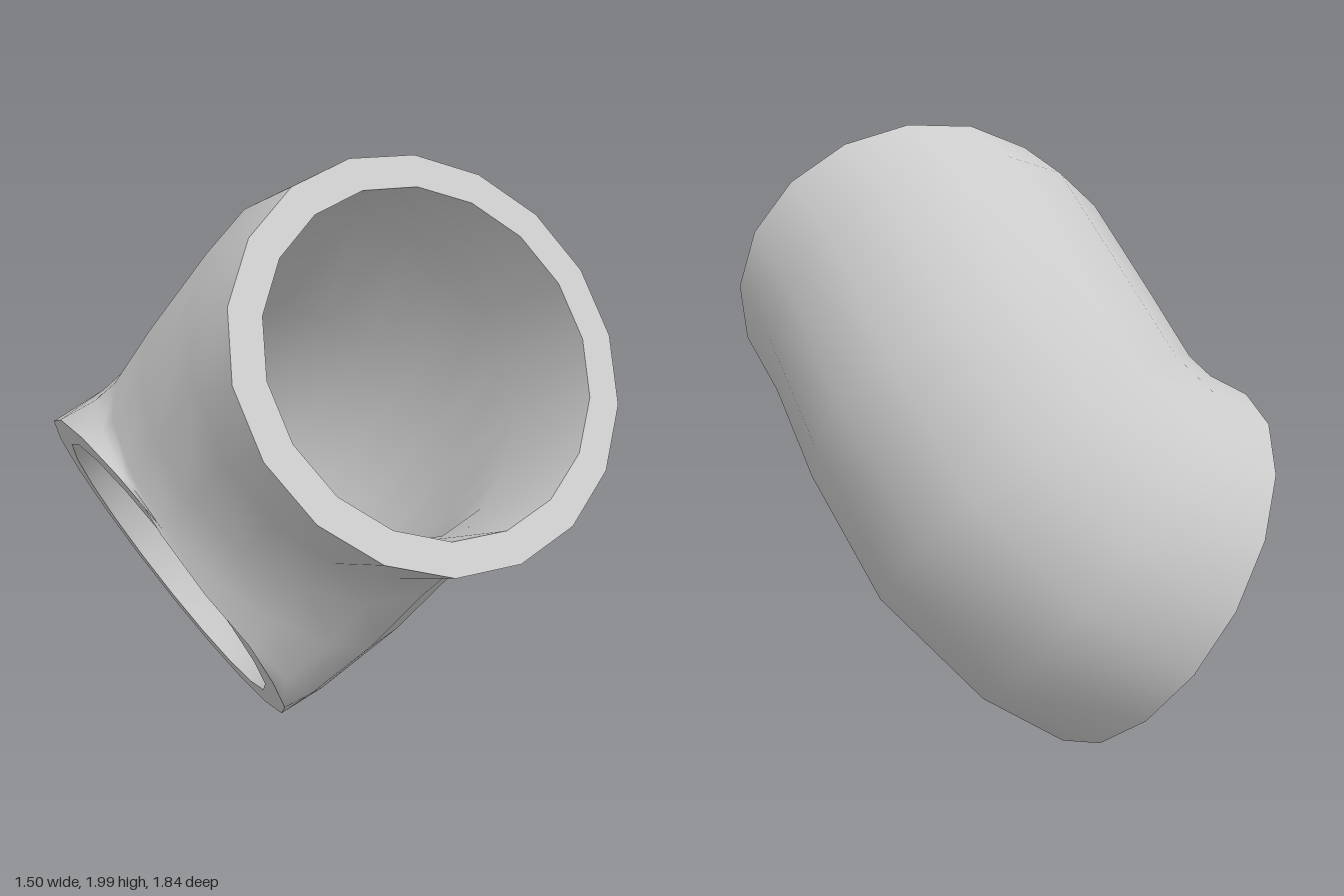
import * as THREE from 'three';

const SIDES = 18, OUTER = 0.65, INNER = 0.545;
const V = (x, y, z) => new THREE.Vector3(x, y, z);

// Centre line of the bend, from the upper front opening to the lower side opening
const CENTRES = [
  V(0.095, 1.445, 0.595), V(0.06, 1.335, 0.31), V(0, 1.08, 0.04),
  V(-0.11, 0.82, -0.14), V(-0.27, 0.65, -0.235), V(-0.43, 0.56, -0.27),
];
const START_DIR = V(0, -0.5, -0.866).normalize();
const END_DIR = V(-0.866, -0.5, 0).normalize();

// Cross-section frames carried along the centre line without twisting
function makeFrames() {
  const last = CENTRES.length - 1;
  const u = V(1, 0, 0);
  let previous = START_DIR;
  const frames = CENTRES.map((c, i) => {
    let t;
    if (i === 0) t = START_DIR;
    else if (i === last) t = END_DIR;
    else {
      const before = c.clone().sub(CENTRES[i - 1]).normalize();
      const after = CENTRES[i + 1].clone().sub(c).normalize();
      t = before.add(after).normalize();
    }
    u.applyQuaternion(new THREE.Quaternion().setFromUnitVectors(previous, t));
    previous = t;
    return { c, u: u.clone(), v: t.clone().cross(u), twist: 0 };
  });
  // Spread a small twist so the last section has a corner on the z axis
  const end = frames[last], step = 2 * Math.PI / SIDES;
  const angle = Math.atan2(end.v.z, end.u.z);
  const twist = angle - Math.round(angle / step) * step;
  frames.forEach((f, i) => { f.twist = twist * i / last; });
  return frames;
}

function ring({ c, u, v, twist }, radius) {
  return Array.from({ length: SIDES }, (_, j) => {
    const a = 2 * Math.PI * j / SIDES + twist;
    return c.clone().addScaledVector(u, radius * Math.cos(a)).addScaledVector(v, radius * Math.sin(a));
  });
}

// Closed band of faces joining successive rings
function band(name, rings, material) {
  const index = [];
  for (let i = 0; i < rings.length - 1; i++) {
    for (let j = 0; j < SIDES; j++) {
      const k = (j + 1) % SIDES;
      const a = i * SIDES + j, b = i * SIDES + k;
      index.push(a, b, a + SIDES, b, b + SIDES, a + SIDES);
    }
  }
  const geometry = new THREE.BufferGeometry().setFromPoints(rings.flat());
  geometry.setIndex(index);
  geometry.computeVertexNormals();
  const mesh = new THREE.Mesh(geometry, material);
  mesh.name = name;
  return mesh;
}

export function createModel() {
  const group = new THREE.Group();
  group.name = 'pipeElbow';
  const material = new THREE.MeshStandardMaterial({ color: 0xcccccc });
  const frames = makeFrames();
  const outer = frames.map((f) => ring(f, OUTER));
  const inner = frames.map((f) => ring(f, INNER));
  group.add(
    band('outerWall', outer, material),
    band('innerWall', [...inner].reverse(), material),
    band('frontRim', [inner[0], outer[0]], material),
    band('sideRim', [outer.at(-1), inner.at(-1)], material),
  );
  return group;
}
